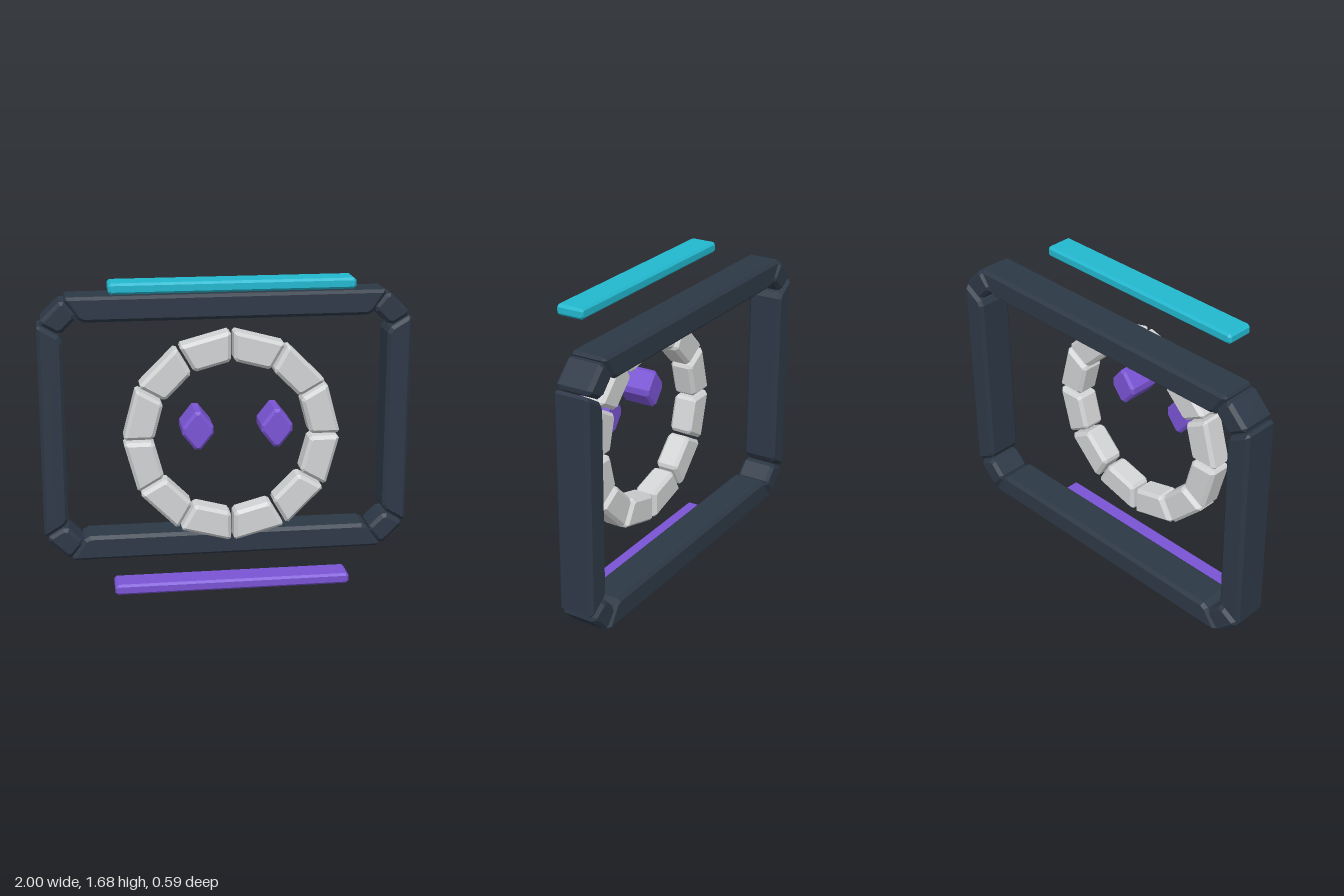
import * as THREE from 'three';

const mat = (name, color) => {
  const m = new THREE.MeshStandardMaterial({ color });
  m.name = name;
  return m;
};

// Prism of a convex outline: corners cut by `cut`, both ends chamfered by `bevel`
function prism(name, points, z0, z1, cut, bevel, material) {
  let pts = points.map(([x, y]) => new THREE.Vector2(x, y));
  if (THREE.ShapeUtils.area(pts) < 0) pts.reverse();
  if (cut > 0) {
    pts = pts.flatMap((p, i) => [-1, 1].map((d) => {
      const q = pts[(i + d + pts.length) % pts.length];
      return p.clone().add(q.clone().sub(p).setLength(cut));
    }));
  }
  const geo = new THREE.ExtrudeGeometry(new THREE.Shape(pts), {
    depth: z1 - z0 - 2 * bevel, bevelEnabled: true, bevelSegments: 1,
    bevelThickness: bevel, bevelSize: bevel, bevelOffset: -bevel,
  });
  geo.translate(0, 0, z0 + bevel);
  const mesh = new THREE.Mesh(geo, material);
  mesh.name = name;
  return mesh;
}

export function createModel() {
  const model = new THREE.Group();
  const dark = mat('dark slate', 0x2d3846);
  const grey = mat('light grey', 0xd2d3d4);
  const purple = mat('purple', 0x7a54d4);
  const teal = mat('teal', 0x22b8cf);
  const CY = 0.847; // shared centre height of frame and ring

  // Frame: four tapered bars and four corner blocks
  const frame = new THREE.Group();
  frame.name = 'frame';
  const addFrame = (name, pts) =>
    frame.add(prism(name, pts.map(([x, y]) => [x, y + CY]), -0.295, -0.097, 0.02, 0.018, dark));
  for (const s of [1, -1]) {
    addFrame(s > 0 ? 'topBar' : 'bottomBar',
      [[-0.865, 0.728 * s], [0.865, 0.728 * s], [0.775, 0.593 * s], [-0.775, 0.593 * s]]);
    addFrame(s > 0 ? 'leftBar' : 'rightBar',
      [[s, -0.592], [s, 0.592], [0.868 * s, 0.512], [0.868 * s, -0.512]]);
    for (const t of [1, -1]) {
      addFrame('frameCorner',
        [[0.992 * s, 0.596 * t], [0.866 * s, 0.72 * t], [0.785 * s, 0.625 * t], [0.88 * s, 0.53 * t]]);
    }
  }
  model.add(frame);

  // Ring of twelve straight-sided blocks with narrow gaps
  const ring = new THREE.Group();
  ring.name = 'ring';
  const half = Math.PI / 12, gap = 0.008;
  for (let i = 0; i < 12; i++) {
    const corner = (r, side) => [side * (r * Math.sin(half) - gap), r * Math.cos(half)];
    const block = prism('ringBlock',
      [corner(0.575, -1), corner(0.575, 1), corner(0.415, 1), corner(0.415, -1)],
      -0.022, 0.111, 0.014, 0.018, grey);
    block.rotation.z = half * (2 * i + 1);
    ring.add(block);
  }
  ring.position.y = CY;
  model.add(ring);

  // Diamond eyes
  for (const s of [1, -1]) {
    const eye = prism(s > 0 ? 'leftEye' : 'rightEye',
      [[0.08, -0.018], [0.08, 0.018], [0.015, 0.1], [-0.015, 0.1],
        [-0.08, 0.018], [-0.08, -0.018], [-0.015, -0.1], [0.015, -0.1]],
      0.1, 0.298, 0, 0.014, purple);
    eye.position.set(0.203 * s, 0.95, 0);
    model.add(eye);
  }

  // Floating plates above and below the frame
  const plate = (name, y0, y1, material) => model.add(prism(name,
    [[-0.634, y0], [0.634, y0], [0.634, y1], [-0.634, y1]], -0.015, 0.137, 0.013, 0.012, material));
  plate('topPlate', 1.63, 1.687, teal);
  plate('bottomPlate', 0.003, 0.061, purple);

  return model;
}
